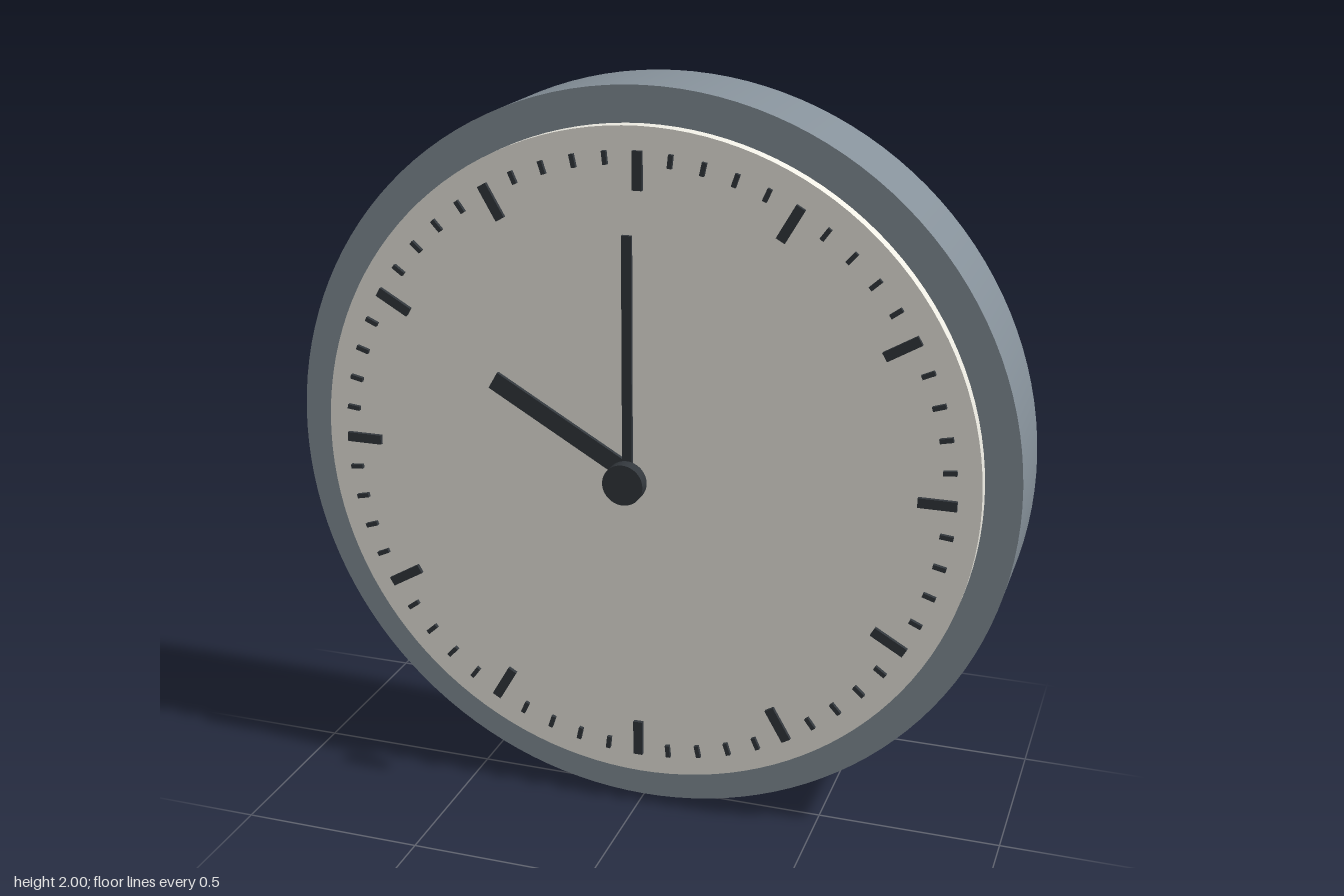
import * as THREE from 'three';

const CENTER_Y = 1;

const rimMat = new THREE.MeshStandardMaterial({ color: 0x86919a });
const faceMat = new THREE.MeshStandardMaterial({ color: 0xefede4 });
const darkMat = new THREE.MeshStandardMaterial({ color: 0x33383d });

// Disc facing +z, spanning z0 to z1
function disc(name, radius, z0, z1, material, segments) {
  const geometry = new THREE.CylinderGeometry(radius, radius, z1 - z0, segments);
  geometry.rotateX(Math.PI / 2);
  const mesh = new THREE.Mesh(geometry, material);
  mesh.name = name;
  mesh.position.z = (z0 + z1) / 2;
  return mesh;
}

// Flat bar lying between radii r0 and r1, turned clockwise from the top
function radialBar(name, r0, r1, width, depth, z, angle) {
  const geometry = new THREE.BoxGeometry(width, r1 - r0, depth);
  geometry.translate(0, (r0 + r1) / 2, 0);
  const mesh = new THREE.Mesh(geometry, darkMat);
  mesh.name = name;
  mesh.position.z = z;
  mesh.rotation.z = -angle;
  return mesh;
}

export function createModel() {
  const clock = new THREE.Group();
  clock.name = 'wallClock';

  // Everything is laid out around the middle of the dial
  const dial = new THREE.Group();
  dial.name = 'clockBody';
  dial.position.y = CENTER_Y;
  clock.add(dial);

  // Case and raised face
  dial.add(disc('case', 1, -0.218, 0.042, rimMat, 128));
  dial.add(disc('face', 0.905, 0.042, 0.08, faceMat, 128));

  // Sixty ticks, every fifth one longer and wider
  const ticks = new THREE.Group();
  ticks.name = 'ticks';
  for (let i = 0; i < 60; i++) {
    const angle = (i / 60) * Math.PI * 2;
    ticks.add(i % 5 === 0
      ? radialBar('hourTick', 0.745, 0.845, 0.026, 0.011, 0.092, angle)
      : radialBar('minuteTick', 0.81, 0.845, 0.012, 0.011, 0.092, angle));
  }
  dial.add(ticks);

  // Hands set to ten o'clock
  dial.add(radialBar('hourHand', 0, 0.446, 0.05, 0.011, 0.136, (10 / 12) * Math.PI * 2));
  const minuteHand = radialBar('minuteHand', -0.01, 0.645, 0.026, 0.011, 0.16, 0);
  minuteHand.position.x = -0.005;
  dial.add(minuteHand);

  // Cap over the pivot
  dial.add(disc('centerCap', 0.055, 0.182, 0.217, darkMat, 48));

  return clock;
}
